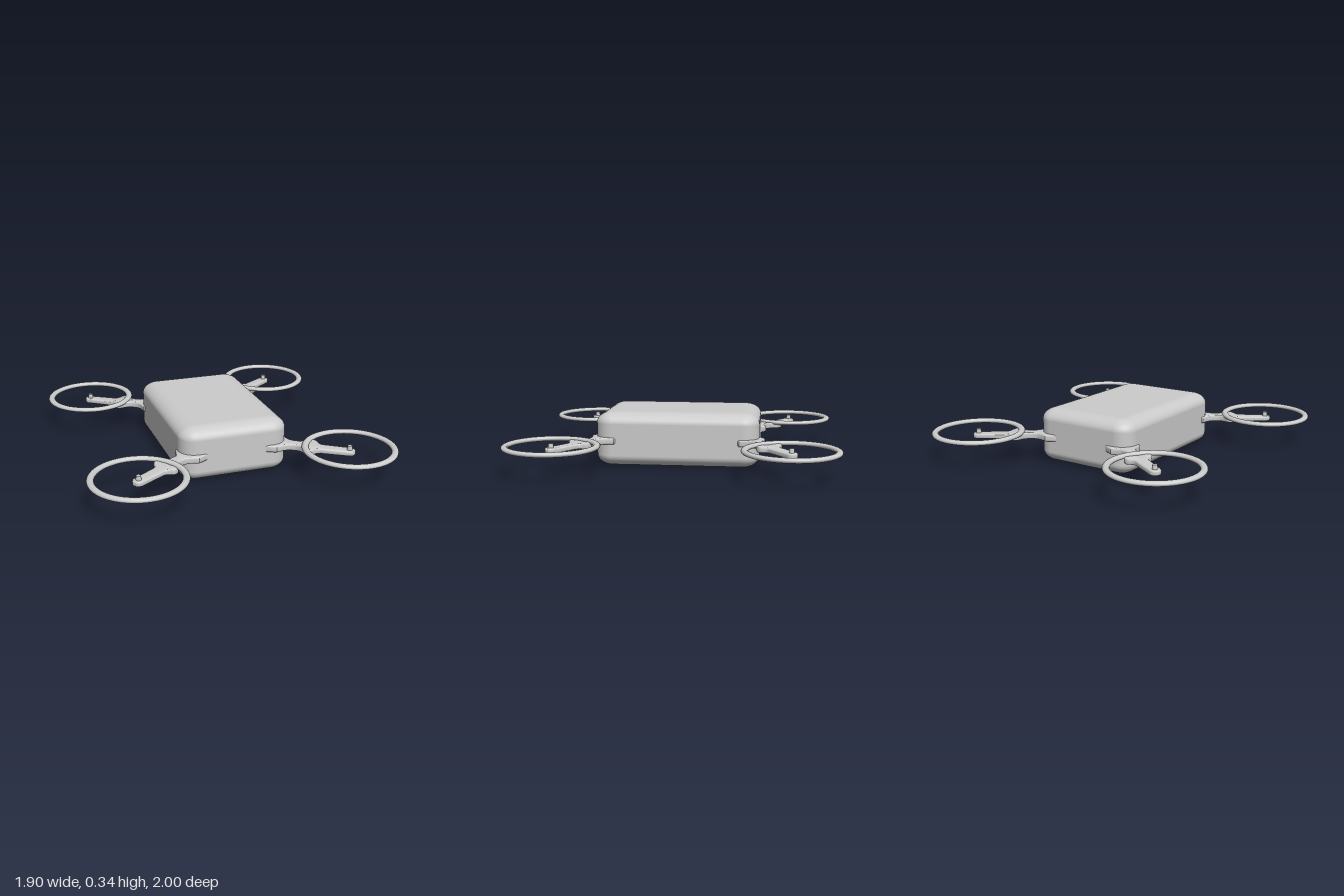
import * as THREE from 'three';
import { RoundedBoxGeometry } from 'three/addons/geometries/RoundedBoxGeometry.js';
import { toCreasedNormals } from 'three/addons/utils/BufferGeometryUtils.js';

const HUB_X = 0.66, HUB_Z = 0.707;
const ARM_ANGLE = THREE.MathUtils.degToRad(33.5);

// Arm outline: hub at the origin, root running towards -x
function armGeometry() {
  const s = new THREE.Shape();
  const w = 0.036;
  s.moveTo(0, -w);
  s.absarc(0, 0, w, -Math.PI / 2, Math.PI / 2, false);
  s.lineTo(-0.17, 0.04);
  s.bezierCurveTo(-0.21, 0.045, -0.20, 0.085, -0.235, 0.085);
  s.bezierCurveTo(-0.27, 0.085, -0.28, 0.036, -0.33, 0.036);
  s.bezierCurveTo(-0.38, 0.036, -0.39, 0.05, -0.43, 0.095);
  s.lineTo(-0.50, 0.10);
  s.lineTo(-0.50, -0.10);
  s.lineTo(-0.43, -0.095);
  s.bezierCurveTo(-0.39, -0.05, -0.38, -0.036, -0.33, -0.036);
  s.bezierCurveTo(-0.28, -0.036, -0.27, -0.085, -0.235, -0.085);
  s.bezierCurveTo(-0.20, -0.085, -0.21, -0.045, -0.17, -0.04);
  s.closePath();
  const g = new THREE.ExtrudeGeometry(s, {
    depth: 0.014, bevelThickness: 0.009, bevelSize: 0.009, bevelOffset: -0.009,
    bevelSegments: 3, curveSegments: 12,
  });
  g.rotateX(-Math.PI / 2).translate(0, 0.154, 0);
  // Thicken the arm upwards from the ring joint to the root
  const p = g.attributes.position;
  for (let i = 0; i < p.count; i++) {
    if (p.getY(i) > 0.161) {
      const t = THREE.MathUtils.smoothstep(-p.getX(i), 0.16, 0.25);
      p.setY(i, p.getY(i) + 0.01 * t);
    }
  }
  return toCreasedNormals(g, 0.7);
}

export function createModel() {
  const model = new THREE.Group();
  model.name = 'quadcopter';
  const mat = new THREE.MeshStandardMaterial({ color: 0xcccccc });
  const add = (parent, name, geometry) => {
    const m = new THREE.Mesh(geometry, mat);
    m.name = name;
    parent.add(m);
    return m;
  };

  // Body: rounded box whose edges are softer sideways than vertically
  const bodyGeo = new RoundedBoxGeometry(0.69, 0.50, 1.03, 8, 0.105);
  bodyGeo.scale(1, 0.343 / 0.50, 1);
  add(model, 'body', bodyGeo).position.y = 0.1715;

  const armGeo = armGeometry();
  const ringGeo = new THREE.TorusGeometry(0.271, 0.021, 16, 72);
  ringGeo.rotateX(Math.PI / 2).scale(1, 0.72, 1);
  const pinGeo = new THREE.CylinderGeometry(0.014, 0.018, 0.035, 16);

  // Four rotor units, one at each corner
  for (const [sx, side] of [[1, 'Left'], [-1, 'Right']]) {
    for (const [sz, end] of [[1, 'front'], [-1, 'back']]) {
      const rotor = new THREE.Group();
      rotor.name = `${end}${side}Rotor`;
      rotor.position.set(sx * HUB_X, 0, sz * HUB_Z);
      const arm = add(rotor, 'arm', armGeo);
      arm.rotation.y = Math.atan2(-sz * Math.sin(ARM_ANGLE), sx * Math.cos(ARM_ANGLE));
      add(rotor, 'guardRing', ringGeo).position.y = 0.185;
      add(rotor, 'motorPin', pinGeo).position.y = 0.186;
      model.add(rotor);
    }
  }
  return model;
}
